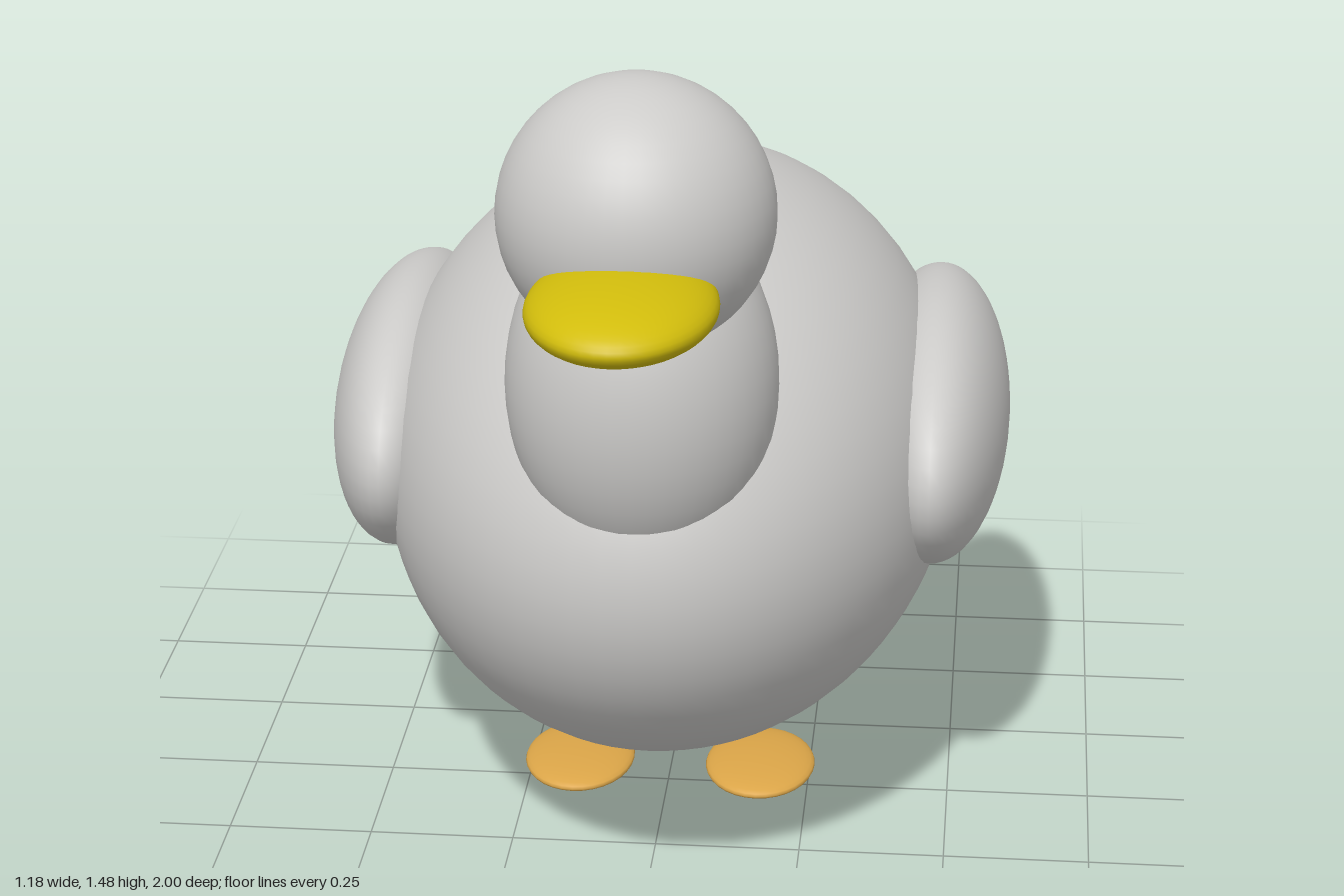
import * as THREE from 'three';

function material(name, color) {
  const m = new THREE.MeshStandardMaterial({ color });
  m.name = name;
  return m;
}

export function createModel() {
  const feathers = material('feather grey', 0xcccbc9);
  const yellow = material('beak yellow', 0xd2bd0c);
  const orange = material('leg orange', 0xdba548);

  const duck = new THREE.Group();
  duck.name = 'duck';

  const add = (name, geometry, mat, position) => {
    const mesh = new THREE.Mesh(geometry, mat);
    mesh.name = name;
    mesh.position.set(...position);
    duck.add(mesh);
  };

  // Smooth ellipsoid with given centre and radii
  const ellipsoid = (name, mat, centre, radii, segments = 48) =>
    add(name, new THREE.SphereGeometry(1, segments, segments / 2).scale(...radii), mat, centre);

  // Body, neck, head, tail and beak
  ellipsoid('body', feathers, [0, 0.635, -0.09], [0.5, 0.5, 0.75], 64);
  ellipsoid('neck', feathers, [0, 0.95, 0.468], [0.22, 0.31, 0.22]);
  ellipsoid('head', feathers, [0, 1.263, 0.555], [0.22, 0.22, 0.22]);
  ellipsoid('tail', feathers, [0, 0.778, -0.78], [0.13, 0.175, 0.22]);
  ellipsoid('beak', yellow, [0, 1.187, 0.78], [0.148, 0.055, 0.22]);

  // Leg profile: short shank tapering to a point above the foot
  const legProfile = [
    [0, 0.045], [0.008, 0.047], [0.028, 0.1], [0.035, 0.16], [0.035, 0.22], [0, 0.28],
  ].map(([r, y]) => new THREE.Vector2(r, y));

  // Mirrored wings, legs and feet
  for (const [label, side] of [['left', 1], ['right', -1]]) {
    ellipsoid(`${label}Wing`, feathers, [side * 0.46, 0.68, -0.135], [0.13, 0.226, 0.442]);
    add(`${label}Leg`, new THREE.LatheGeometry(legProfile, 20), orange, [side * 0.163, 0, -0.13]);
    ellipsoid(`${label}Foot`, orange, [side * 0.163, 0.022, -0.038], [0.098, 0.021, 0.137], 32);
  }

  return duck;
}
